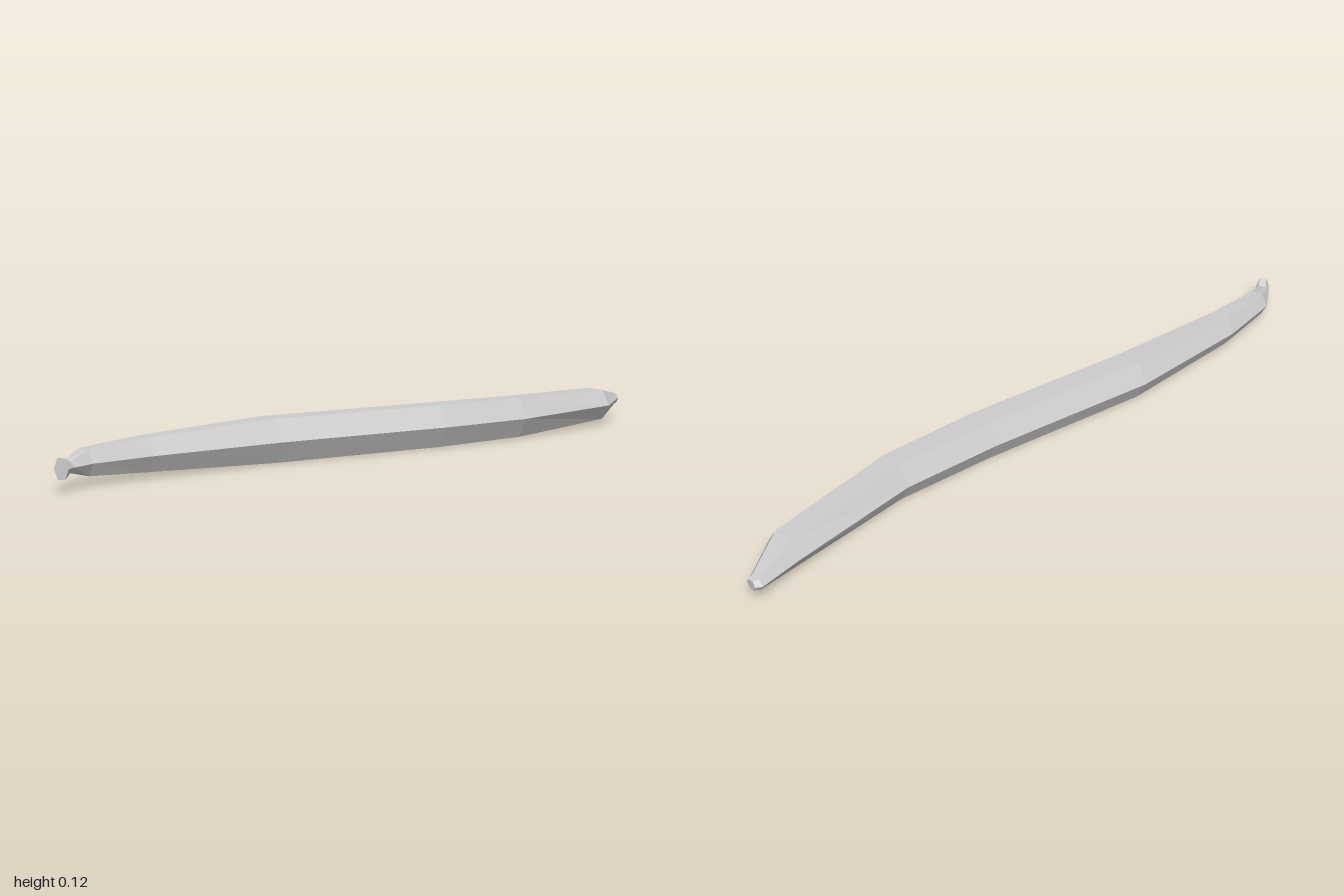
import * as THREE from 'three';

const podMaterial = new THREE.MeshStandardMaterial({ color: 0xcccccc });
podMaterial.name = 'light grey';
podMaterial.flatShading = true;

const SIDES = 6;
const MID_Y = 0.06;

// Hexagonal ring: centre x and z, half width, half height, turn about y
function ring([x, z, w, h, turn]) {
  return Array.from({ length: SIDES }, (_, i) => {
    const a = (i / SIDES) * Math.PI * 2;
    const side = Math.cos(a) * w;
    return [
      x + side * Math.cos(turn),
      MID_Y + (Math.sin(a) / Math.sin(Math.PI / 3)) * h,
      z + side * Math.sin(turn),
    ];
  });
}

// Skin a row of sections from back to front, closing the ends when asked
function loft(name, sections, capBack, capFront) {
  const rings = sections.map(ring);
  const positions = [];
  const tri = (a, b, c) => positions.push(...a, ...b, ...c);
  for (let r = 0; r < rings.length - 1; r++) {
    for (let i = 0; i < SIDES; i++) {
      const j = (i + 1) % SIDES;
      tri(rings[r][i], rings[r][j], rings[r + 1][j]);
      tri(rings[r][i], rings[r + 1][j], rings[r + 1][i]);
    }
  }
  const first = rings[0];
  const last = rings[rings.length - 1];
  for (let i = 1; i < SIDES - 1; i++) {
    if (capBack) tri(first[0], first[i + 1], first[i]);
    if (capFront) tri(last[0], last[i], last[i + 1]);
  }
  const geometry = new THREE.BufferGeometry();
  geometry.setAttribute('position', new THREE.Float32BufferAttribute(positions, 3));
  geometry.computeVertexNormals();
  const mesh = new THREE.Mesh(geometry, podMaterial);
  mesh.name = name;
  return mesh;
}

export function createModel() {
  const group = new THREE.Group();
  group.name = 'beanPod';
  const neck = [-0.022, 0.962, 0.022, 0.013, -0.6];

  // Long S-curved pod with a blunt back tip
  group.add(loft('pod', [
    [-0.035, -1.0, 0.017, 0.013, 0],
    [-0.036, -0.985, 0.026, 0.018, 0],
    [0.015, -0.86, 0.06, 0.045, 0],
    [0.053, -0.47, 0.063, 0.057, 0],
    [0.027, -0.18, 0.065, 0.06, 0],
    [-0.054, 0.33, 0.066, 0.06, 0],
    [-0.07, 0.71, 0.05, 0.045, 0],
    [-0.056, 0.895, 0.036, 0.034, -0.2],
    neck,
  ], true, false));

  // Short flared stem, turned towards +x
  group.add(loft('stem', [neck, [-0.004, 0.987, 0.019, 0.027, -0.75]], false, true));

  return group;
}
